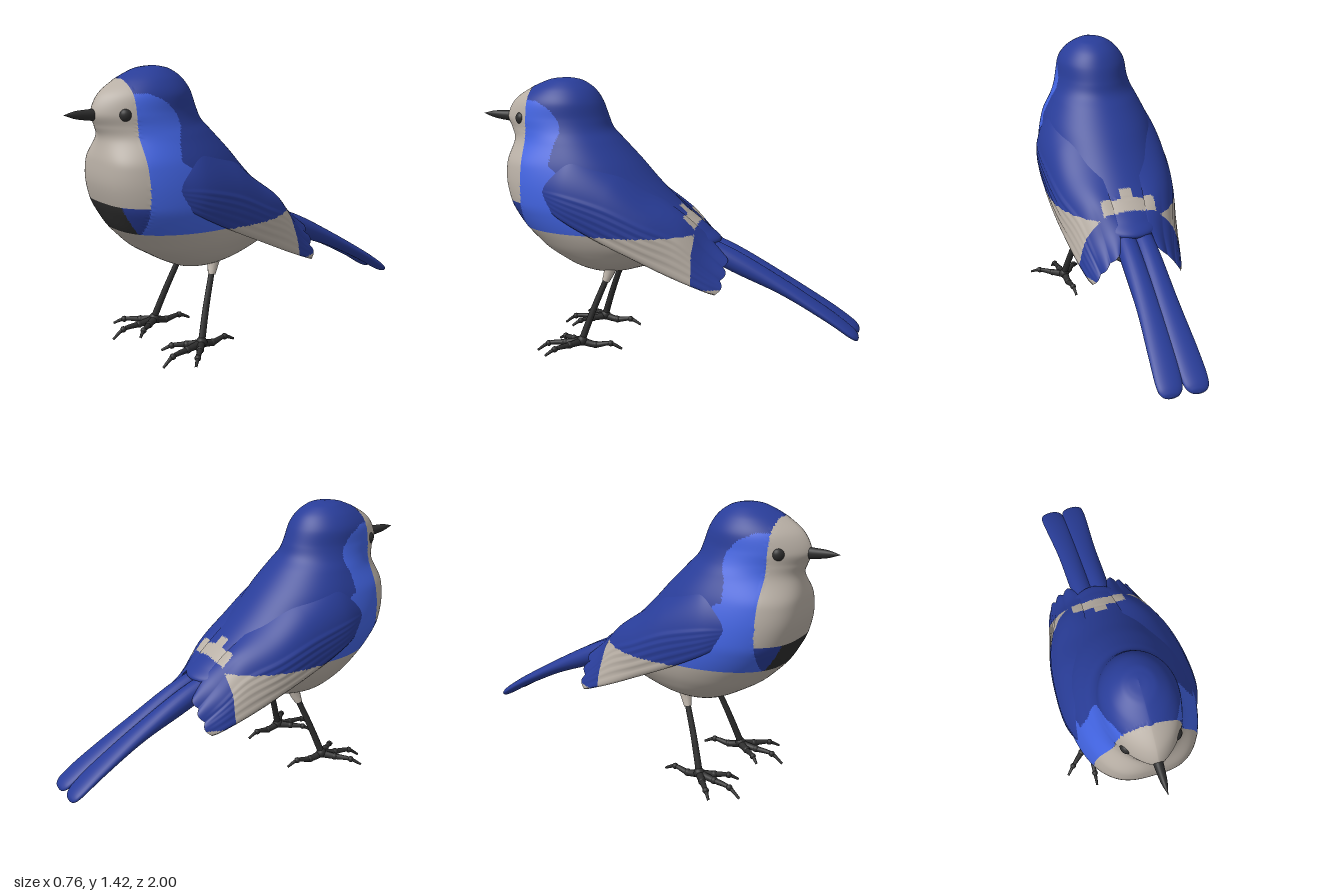
import * as THREE from 'three';

const material = (name, color) => {
  const m = new THREE.MeshStandardMaterial({ color });
  m.name = name;
  return m;
};

export function createModel() {
  const bird = new THREE.Group();
  bird.name = 'songbird';
  const mats = {
    blue: material('deep blue', 0x293d99),
    bright: material('bright blue', 0x4264e2),
    beige: material('warm grey', 0xb8afa5),
    dark: material('charcoal', 0x2d2d2d),
  };
  const keys = Object.keys(mats);

  const add = (name, geometry, mat, parent = bird) => {
    const mesh = new THREE.Mesh(geometry, mat);
    mesh.name = name;
    parent.add(mesh);
    return mesh;
  };

  // Closed surface from fn(u, v), wrapped in v; each face takes the colour key of its centre
  function surface(name, rows, cols, fn, colour, flip = false) {
    const pts = [], buckets = { blue: [], bright: [], beige: [], dark: [] };
    for (let i = 0; i <= rows; i++)
      for (let j = 0; j < cols; j++) pts.push(new THREE.Vector3(...fn(i / rows, j / cols)));
    const c = new THREE.Vector3();
    const face = (p, q, r) => {
      c.copy(pts[p]).add(pts[q]).add(pts[r]).divideScalar(3);
      buckets[colour(c)].push(...(flip ? [p, r, q] : [p, q, r]));
    };
    for (let i = 0; i < rows; i++)
      for (let j = 0; j < cols; j++) {
        const k = (j + 1) % cols, a = i * cols, b = a + cols;
        face(a + j, a + k, b + j);
        face(a + k, b + k, b + j);
      }
    const g = new THREE.BufferGeometry().setFromPoints(pts);
    const index = [];
    keys.forEach((key, m) => {
      if (buckets[key].length) g.addGroup(index.length, buckets[key].length, m);
      for (const n of buckets[key]) index.push(n);
    });
    g.setIndex(index);
    g.computeVertexNormals();
    return add(name, g, keys.map((k) => mats[k]));
  }

  const V = (a) => new THREE.Vector3(...a);
  const spline = (list) => new THREE.CatmullRomCurve3(list.map(V), false, 'catmullrom', 0.5);

  // Tube along a smooth path with its radius running from r0 to r1
  function taperTube(points, r0, r1, n = 14, sides = 10) {
    const path = new THREE.CatmullRomCurve3(points.map(V));
    const g = new THREE.TubeGeometry(path, n, 1, sides, false);
    const p = g.attributes.position, q = new THREE.Vector3();
    for (let i = 0; i <= n; i++) {
      const c = path.getPointAt(i / n), r = r0 + (r1 - r0) * (i / n);
      for (let j = 0; j <= sides; j++) {
        const k = i * (sides + 1) + j;
        q.fromBufferAttribute(p, k).sub(c).multiplyScalar(r).add(c);
        p.setXYZ(k, q.x, q.y, q.z);
      }
    }
    return g;
  }

  // Body and head: level slices [y, front z, back z, half width, z of widest point]
  const slices = [
    [0.41, 0.32, 0.3, 0, 0.31], [0.425, 0.41, 0.2, 0.1, 0.31], [0.46, 0.49, 0.09, 0.185, 0.31],
    [0.5, 0.56, -0.03, 0.235, 0.31], [0.55, 0.64, -0.17, 0.27, 0.32], [0.6, 0.695, -0.28, 0.295, 0.33],
    [0.66, 0.75, -0.22, 0.313, 0.35], [0.73, 0.79, -0.13, 0.323, 0.38], [0.8, 0.82, -0.05, 0.322, 0.42],
    [0.9, 0.843, 0.05, 0.307, 0.45], [1.0, 0.84, 0.14, 0.28, 0.47], [1.1, 0.82, 0.235, 0.235, 0.5],
    [1.16, 0.84, 0.29, 0.207, 0.53], [1.22, 0.86, 0.315, 0.19, 0.55], [1.3, 0.82, 0.345, 0.176, 0.55],
    [1.36, 0.735, 0.385, 0.138, 0.55], [1.4, 0.65, 0.44, 0.088, 0.54], [1.414, 0.6, 0.485, 0.05, 0.535],
    [1.42, 0.54, 0.52, 0, 0.53],
  ];
  const frontCurve = spline(slices.map(([y, f, , w]) => [w, y, f]));
  const backCurve = spline(slices.map(([y, , b, , m]) => [m, y, b]));
  const bodyPoint = (u, v) => {
    const a = v * Math.PI * 2, s = Math.sin(a), c = Math.cos(a);
    const F = frontCurve.getPoint(u), B = backCurve.getPoint(u);
    // full rounded breast, narrow face
    const full = 0.85 - 0.2 * THREE.MathUtils.smoothstep(F.y, 0.6, 0.8);
    const e = c > 0 ? full + 0.75 * THREE.MathUtils.smoothstep(F.y, 0.98, 1.2) : 1;
    const x = F.x * Math.sign(s) * Math.pow(Math.abs(s), e);
    let z = B.x + c * (c > 0 ? F.z - B.x : B.x - B.z);
    if (F.y > 0.7) // tidy colour edges
      for (const edge of [0.71, -0.11]) if (Math.abs(z - edge) < 0.004) z = edge;
    return [x, F.y, z];
  };
  // Rear limit of the bright side patch by height
  const patch = [[0.66, 0.32], [0.9, 0.4], [1.0, 0.55], [1.08, 0.54], [1.16, 0.51], [1.21, 0.52], [1.27, 0.57], [1.31, 0.65]];
  const patchRear = (y) => {
    for (let i = 1; i < patch.length; i++) {
      const [y0, z0] = patch[i - 1], [y1, z1] = patch[i];
      if (y <= y1) return z0 + ((z1 - z0) * (y - y0)) / (y1 - y0);
    }
    return 9;
  };
  const rumpBar = ({ x, z }) =>
    z > -0.17 && ((Math.abs(x) < 0.14 && z < -0.11) || (Math.abs(x) < 0.035 && z < -0.07));
  surface('body', 180, 190, bodyPoint, (p) => {
    if (p.z < -0.17) return 'blue';
    if (p.y < 0.66 || rumpBar(p)) return 'beige';
    if (p.y < 0.8 && p.z > 0.6 && Math.abs(p.x) < 0.15) return 'dark';
    if (p.z > 0.71) return p.y > 0.8 && p.y < 1.37 ? 'beige' : 'blue';
    return p.z > patchRear(p.y) ? 'bright' : 'blue';
  });

  // Folded wings: upper edge, middle and lower edge from shoulder to tip
  const upper = spline([[0.265, 0.98, 0.54], [0.238, 1.06, 0.42], [0.18, 0.98, 0.22], [0.11, 0.86, 0.05],
    [0.085, 0.735, -0.12], [0.08, 0.625, -0.24], [0.095, 0.55, -0.315]]);
  const middle = spline([[0.285, 0.9, 0.61], [0.325, 0.9, 0.45], [0.317, 0.85, 0.25], [0.282, 0.76, 0.06],
    [0.225, 0.68, -0.1], [0.19, 0.555, -0.22], [0.175, 0.47, -0.315]]);
  const lower = spline([[0.28, 0.82, 0.6], [0.323, 0.74, 0.48], [0.325, 0.64, 0.29], [0.312, 0.55, 0.1],
    [0.288, 0.465, -0.08], [0.255, 0.395, -0.24], [0.235, 0.375, -0.29]]);
  const wingPoint = (s, v) => {
    const p = upper.getPoint(s).multiplyScalar(2 * (v - 0.5) * (v - 1));
    p.addScaledVector(middle.getPoint(s), -4 * v * (v - 1));
    p.addScaledVector(lower.getPoint(s), 2 * v * (v - 0.5));
    p.z -= 0.02 * Math.abs(Math.sin(v * Math.PI * 3)) * Math.pow(s, 6); // scalloped tip
    return p;
  };
  for (const side of [1, -1])
    surface(side > 0 ? 'leftWing' : 'rightWing', 90, 96, (s, j) => {
      const outer = j < 0.5, v = outer ? 2 * j : 2 - 2 * j;
      const p = wingPoint(s, v);
      const thick = Math.sqrt(Math.sin(Math.PI * s) + 1e-9) * Math.sin(Math.PI * v);
      // raised flight feathers along the lower half
      const ridge = v > 0.6 ? 0.006 * Math.abs(Math.sin((v - 0.6) * Math.PI * 12.5)) * Math.sin(Math.PI * s) : 0;
      return [side * (p.x + (outer ? ridge : -0.035 * thick)), p.y, p.z];
    }, (p) => {
      if (p.z < -0.17) return p.y < 0.4 ? 'beige' : 'blue';
      return p.y < 0.66 || rumpBar(p) ? 'beige' : 'blue';
    }, side < 0);

  // Tapered loft along z: [z, y, x, half width, half height]
  function loftZ(name, rows, dir, colour) {
    const centre = spline(rows.map(([z, y, x]) => [x, y, z]));
    const size = spline(rows.map(([, , , rx, ry]) => [rx, ry, 0]));
    return surface(name, 48, 28, (u, v) => {
      const c = centre.getPoint(u), r = size.getPoint(u), a = v * Math.PI * 2;
      return [c.x + r.x * Math.cos(a), c.y + dir * r.y * Math.sin(a), c.z];
    }, () => colour);
  }

  // Forked tail
  for (const side of [1, -1])
    loftZ(side > 0 ? 'leftTailFeather' : 'rightTailFeather', [
      [-0.12, 0.61, 0.045, 0.05, 0.05], [-0.35, 0.51, 0.045, 0.058, 0.06], [-0.6, 0.39, 0.047, 0.06, 0.042],
      [-0.83, 0.26, 0.056, 0.066, 0.032], [-0.95, 0.182, 0.063, 0.063, 0.027],
      [-0.99, 0.155, 0.066, 0.042, 0.018], [-1.0, 0.15, 0.066, 0, 0],
    ].map(([z, y, x, rx, ry]) => [z, y, side * x, rx, ry]), -1, 'blue');

  // Beak
  loftZ('beak', [[0.81, 1.213, 0, 0.026, 0.032], [0.87, 1.215, 0, 0.022, 0.026],
    [0.94, 1.22, 0, 0.015, 0.018], [1.0, 1.224, 0, 0, 0]], 1, 'dark');

  for (const side of [1, -1]) {
    // Eyes, sunk into the face
    const eye = add(side > 0 ? 'leftEye' : 'rightEye', new THREE.SphereGeometry(0.031, 24, 16), mats.dark);
    eye.position.set(side * 0.117, 1.216, 0.748);
    eye.scale.x = 0.8;
    eye.rotation.y = side * -0.6;

    // Legs and feet
    const leg = new THREE.Group();
    leg.name = side > 0 ? 'leftLeg' : 'rightLeg';
    bird.add(leg);
    const at = (list) => list.map(([x, y, z]) => [side * x, y, z]);
    const limb = (name, pts, r0, r1, mat) => add(name, taperTube(at(pts), r0, r1), mat, leg);
    const knob = (x, y, z, r) =>
      add('joint', new THREE.SphereGeometry(r, 14, 10), mats.dark, leg).position.set(side * x, y, z);
    limb('thigh', [[0.13, 0.47, 0.27], [0.138, 0.42, 0.285], [0.147, 0.385, 0.298]], 0.036, 0.019, mats.beige);
    limb('shank', [[0.145, 0.39, 0.297], [0.178, 0.24, 0.355], [0.214, 0.08, 0.41]], 0.015, 0.018, mats.dark);
    knob(0.214, 0.075, 0.41, 0.028);
    const toes = [
      [[0.212, 0.07, 0.41], [0.27, 0.065, 0.46], [0.335, 0.06, 0.52], [0.375, 0.035, 0.56]],
      [[0.212, 0.07, 0.41], [0.17, 0.065, 0.47], [0.128, 0.06, 0.53], [0.098, 0.036, 0.57]],
      [[0.212, 0.07, 0.41], [0.22, 0.06, 0.5], [0.228, 0.05, 0.59], [0.232, 0.008, 0.65]],
      [[0.212, 0.07, 0.41], [0.208, 0.055, 0.34], [0.2, 0.065, 0.26], [0.195, 0.038, 0.2]],
    ];
    for (const toe of toes) {
      limb('toe', toe, 0.021, 0.006, mats.dark);
      knob(...toe[1], 0.019);
      knob(...toe[2], 0.016);
    }
  }
  return bird;
}
